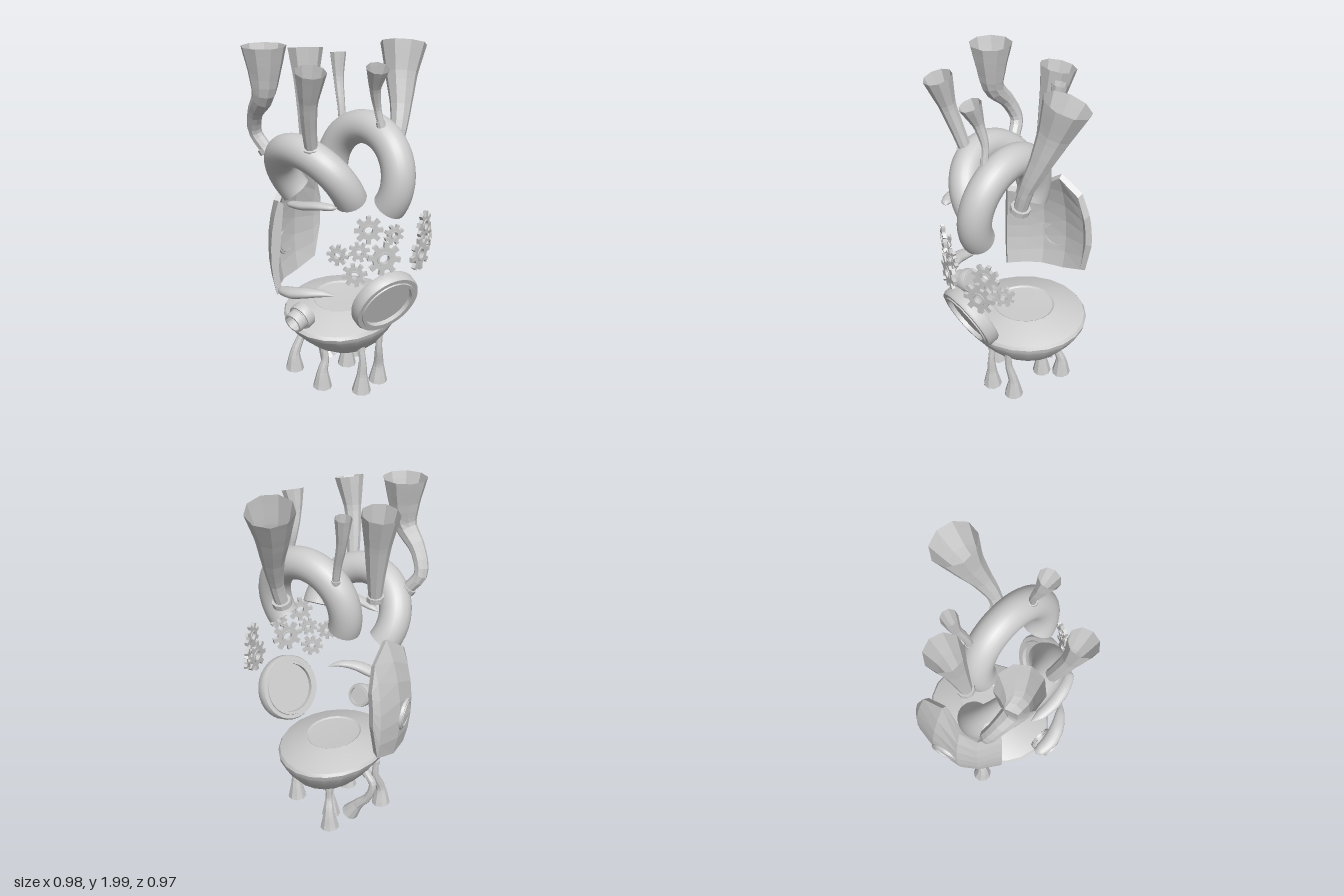
import * as THREE from 'three';
import { toCreasedNormals } from 'three/addons/utils/BufferGeometryUtils.js';

const V = (p) => new THREE.Vector3(p[0], p[1], p[2]);
const smooth = new THREE.MeshStandardMaterial({ color: 0xcccccc, side: THREE.DoubleSide });
const flat = new THREE.MeshStandardMaterial({ color: 0xcccccc, side: THREE.DoubleSide, flatShading: true });

function add(parent, name, geometry, material = smooth) {
  const mesh = new THREE.Mesh(geometry, material);
  mesh.name = name;
  parent.add(mesh);
  return mesh;
}

// Turns a y-axis part to face along a direction
function aim(object, position, direction) {
  object.position.copy(V(position));
  object.quaternion.setFromUnitVectors(new THREE.Vector3(0, 1, 0), V(direction).normalize());
  return object;
}

// Skin over equal-length closed loops of points
function skin(loops, caps = false) {
  const n = loops[0].length, index = [];
  const pos = loops.flat().flatMap((p) => [p.x, p.y, p.z]);
  for (let i = 0; i < loops.length - 1; i++)
    for (let j = 0; j < n; j++) {
      const a = i * n + j, b = i * n + (j + 1) % n;
      index.push(a, b, a + n, b, b + n, a + n);
    }
  if (caps) for (const s of [0, (loops.length - 1) * n])
    for (let j = 1; j < n - 1; j++) index.push(...(s ? [s, s + j, s + j + 1] : [s, s + j + 1, s + j]));
  const g = new THREE.BufferGeometry();
  g.setAttribute('position', new THREE.Float32BufferAttribute(pos, 3));
  g.setIndex(index);
  g.computeVertexNormals();
  return g;
}

// Tube along [x, y, z, radius] points; squash flattens it vertically
function sweep(points, sides, steps, squash = 1, caps = false) {
  const curve = new THREE.CatmullRomCurve3(points.map(V));
  const side = new THREE.Vector3(0.31, 0.2, 0.93), loops = [];
  for (let i = 0; i <= steps; i++) {
    const t = i / steps, f = t * (points.length - 1), k = Math.min(Math.floor(f), points.length - 2);
    const r = THREE.MathUtils.lerp(points[k][3], points[k + 1][3], f - k);
    const c = curve.getPoint(t), tan = curve.getTangent(t);
    side.addScaledVector(tan, -side.dot(tan)).normalize();
    const up = tan.clone().cross(side);
    loops.push(Array.from({ length: sides }, (_, j) => {
      const a = j / sides * Math.PI * 2;
      const d = side.clone().multiplyScalar(Math.cos(a) * r).addScaledVector(up, Math.sin(a) * r);
      d.y *= squash;
      return d.add(c);
    }));
  }
  return skin(loops, caps);
}

const lathe = (profile, sides, crease = 0.6) => toCreasedNormals(
  new THREE.LatheGeometry(profile.map((p) => new THREE.Vector2(p[0], p[1])), sides), crease);

const ring = (inner, outer, h, sides = 32) => lathe(
  [[inner, -h], [outer * 0.96, -h], [outer, -h * 0.6], [outer, h * 0.6], [outer * 0.96, h], [inner, h], [inner, -h]], sides);

// Flared pipe with a small collar where it starts
function horn(parent, name, points, collar) {
  const g = new THREE.Group();
  g.name = name;
  add(g, 'flaredPipe', sweep(points, 9, 16), flat);
  const [a, b] = points.map(V);
  aim(add(g, 'collar', new THREE.CylinderGeometry(collar, collar, 0.03, 10), flat),
    points[0], b.sub(a).toArray());
  parent.add(g);
}

// Thick bent pipe: part of a torus with closed ends
function archPipe(parent, name, R, r, from, to, position, tilt) {
  const g = new THREE.Group();
  g.name = name;
  const rad = THREE.MathUtils.degToRad;
  add(g, 'pipe', new THREE.TorusGeometry(R, r, 24, 48, rad(to - from))).rotation.z = rad(from);
  for (const deg of [from, to]) {
    const a = rad(deg);
    aim(add(g, 'pipeEnd', new THREE.CylinderGeometry(r, r, 0.002, 24), flat),
      [R * Math.cos(a), R * Math.sin(a), 0], [-Math.sin(a), Math.cos(a), 0]);
  }
  g.position.copy(V(position));
  g.rotation.x = rad(tilt);
  parent.add(g);
}

function gearGeometry(r, teeth = 8) {
  const s = new THREE.Shape();
  for (let i = 0; i < teeth; i++)
    [[-0.27, 0.68], [-0.2, 1], [0.2, 1], [0.27, 0.68]].forEach(([o, k], j) => {
      const a = (i + o) / teeth * Math.PI * 2;
      s[i + j ? 'lineTo' : 'moveTo'](Math.cos(a) * r * k, Math.sin(a) * r * k);
    });
  s.closePath();
  s.holes.push(new THREE.Path().absarc(0, 0, r * 0.3, 0, Math.PI * 2, true));
  return new THREE.ExtrudeGeometry(s, { depth: 0.02, bevelEnabled: false, curveSegments: 6 }).translate(0, 0, -0.01);
}

export function createModel() {
  const model = new THREE.Group();

  // Lower bowl with a raised, shallowly dished top; skewed, tilted and off centre
  const bowl = lathe([[0, 0.21], [0.24, 0.213], [0.46, 0.238], [0.66, 0.29], [0.83, 0.357], [0.97, 0.425],
    [1, 0.455], [0.97, 0.472], [0.75, 0.502], [0.49, 0.525], [0.46, 0.518], [0, 0.51]], 22);
  const p = bowl.attributes.position;
  for (let i = 0; i < p.count; i++) {
    const x = p.getX(i) * 0.322, y = p.getY(i), z = p.getZ(i) * 0.37;
    const low = Math.max(0, (0.455 - y) / 0.245);
    p.setXYZ(i, x + 0.045 * z - 0.03 + low * 0.03,
      y - (x * 0.09 + Math.max(z, 0) * 0.05) * (1 - low), z + 0.045 * x - low * 0.03);
  }
  add(model, 'bowl', toCreasedNormals(bowl, 0.35));

  // Flared feet: foot x, z and top x, y, z
  for (const [x, z, tx, ty, tz] of [
    [0.195, 0.06, 0.19, 0.29, 0.06], [0.18, -0.095, 0.205, 0.33, -0.075], [0, 0.185, 0, 0.26, 0.17],
    [-0.265, 0.165, -0.25, 0.33, 0.12], [-0.15, -0.2, -0.13, 0.27, -0.18], [-0.085, -0.1, -0.085, 0.23, -0.1]])
    horn(model, 'foot', [[tx, ty, tz, 0.018], [(tx + x) / 2 + 0.01, ty * 0.72, tz, 0.021],
      [x + 0.005, 0.12, z, 0.03], [x, 0.01, z, 0.056]], 0.024);
  horn(model, 'curledFoot', [[-0.28, 0.35, -0.02, 0.02], [-0.325, 0.29, -0.02, 0.022], [-0.3, 0.19, -0.03, 0.024],
    [-0.235, 0.11, -0.04, 0.032], [-0.185, 0.03, -0.045, 0.052]], 0.026);

  // Arched main pipes
  archPipe(model, 'frontArch', 0.25, 0.088, -6, 206, [-0.04, 1.24, 0.18], 30);
  archPipe(model, 'rearArch', 0.245, 0.09, -34, 200, [0.135, 1.31, -0.008], -7);

  // Upper horns
  horn(model, 'frontRightHorn', [[-0.3, 1.41, 0.3, 0.035], [-0.36, 1.5, 0.325, 0.037], [-0.315, 1.62, 0.355, 0.042],
    [-0.22, 1.73, 0.375, 0.06], [-0.205, 1.85, 0.375, 0.085], [-0.205, 1.985, 0.375, 0.118]], 0.046);
  horn(model, 'frontLeftHorn', [[0.08, 1.49, 0.32, 0.034], [0.1, 1.6, 0.35, 0.039],
    [0.135, 1.75, 0.385, 0.047], [0.175, 1.91, 0.405, 0.08]], 0.047);
  horn(model, 'sideHorn', [[-0.25, 1.43, 0.06, 0.035], [-0.265, 1.58, 0.04, 0.05],
    [-0.285, 1.75, 0.02, 0.07], [-0.31, 1.92, 0, 0.1]], 0.047);
  horn(model, 'backHorn', [[0.2, 1.355, -0.16, 0.038], [0.2, 1.48, -0.2, 0.04], [0.165, 1.64, -0.26, 0.06],
    [0.12, 1.8, -0.31, 0.09], [0.09, 1.95, -0.355, 0.128]], 0.053);
  horn(model, 'leftHorn', [[0.27, 1.6, 0.01, 0.018], [0.255, 1.68, 0.02, 0.02],
    [0.265, 1.79, 0.05, 0.03], [0.3, 1.9, 0.07, 0.06]], 0.024);
  horn(model, 'smallHorn', [[-0.09, 1.52, -0.07, 0.02], [-0.11, 1.62, -0.08, 0.022],
    [-0.15, 1.76, -0.1, 0.028], [-0.17, 1.9, -0.115, 0.045]], 0.026);

  // Curved side plate: columns of z, x, top, bottom
  const plate = [[-0.19, -0.43, 1.02, 0.8], [-0.155, -0.455, 1.16, 0.6], [0, -0.475, 1.25, 0.55],
    [0.16, -0.445, 1.15, 0.54], [0.25, -0.375, 1.09, 0.545], [0.33, -0.255, 1.13, 0.56]];
  add(model, 'sidePlate', skin(plate.map(([z, x, top, bottom]) => {
    const column = (k, inset) => Array.from({ length: 7 }, (_, i) => {
      const y = THREE.MathUtils.lerp(bottom + inset, top - inset, i / 6);
      const bulge = k * (1 - 0.22 * ((y - 0.8) / 0.45) ** 2);
      return new THREE.Vector3(x * bulge, y, z * bulge);
    });
    return [...column(1, 0), ...column(0.91, 0.02).reverse()];
  }), true), flat);

  // Round openings with a frame and a pane
  const porthole = (name, r, h, position, direction) => {
    const g = new THREE.Group();
    g.name = name;
    add(g, 'frame', ring(r * 0.77, r, h));
    add(g, 'innerLip', ring(r * 0.74, r * 0.86, h * 1.2));
    add(g, 'pane', new THREE.CylinderGeometry(r * 0.76, r * 0.76, h, 32), flat);
    model.add(aim(g, position, direction));
    return g;
  };
  porthole('largePorthole', 0.196, 0.036, [0.366, 0.648, 0.06], [0.9, -0.38, 0.2]);
  porthole('platePorthole', 0.092, 0.022, [-0.441, 0.78, 0.075], [-0.93, -0.08, 0.28]);
  const valve = porthole('frontValve', 0.073, 0.026, [0.046, 0.557, 0.372], [0.05, -0.28, 0.95]);
  add(valve, 'valveMouth', ring(0.045, 0.058, 0.035)).position.y = 0.043;

  // Curved front vanes
  add(model, 'lowerVane', sweep([[-0.065, 0.692, 0.41, 0.015], [-0.04, 0.698, 0.425, 0.036], [0.04, 0.712, 0.43, 0.045],
    [0.12, 0.73, 0.405, 0.04], [0.19, 0.735, 0.36, 0.027], [0.25, 0.72, 0.31, 0.003]], 16, 24, 0.65, true));
  add(model, 'upperVane', sweep([[-0.07, 1.175, 0.36, 0.005], [-0.02, 1.185, 0.37, 0.028], [0.07, 1.2, 0.375, 0.036],
    [0.17, 1.22, 0.36, 0.034], [0.24, 1.222, 0.33, 0.026], [0.26, 1.22, 0.315, 0.004]], 16, 24, 0.6, true));

  // Gears set around a cylinder: z, y, radius
  const gears = new THREE.Group();
  gears.name = 'gears';
  [[0.215, 1.11, 0.075], [0.095, 1.07, 0.055], [0.315, 0.965, 0.058], [0.25, 0.99, 0.055], [0.145, 0.945, 0.092],
    [0.265, 0.86, 0.066], [-0.14, 1.06, 0.077], [-0.1, 0.91, 0.092], [-0.225, 0.955, 0.062]].forEach(([z, y, r], i) => {
    const a = Math.asin((z + 0.027) / 0.386);
    const gear = add(gears, 'gear', gearGeometry(r), flat);
    gear.position.set(0.085 + 0.386 * Math.cos(a), y, z);
    gear.rotation.set(0, Math.PI / 2 - a, i * 0.35);
    add(gear, 'hub', ring(r * 0.29, r * 0.43, 0.014, 16)).rotation.x = Math.PI / 2;
  });
  model.add(gears);
  return model;
}
